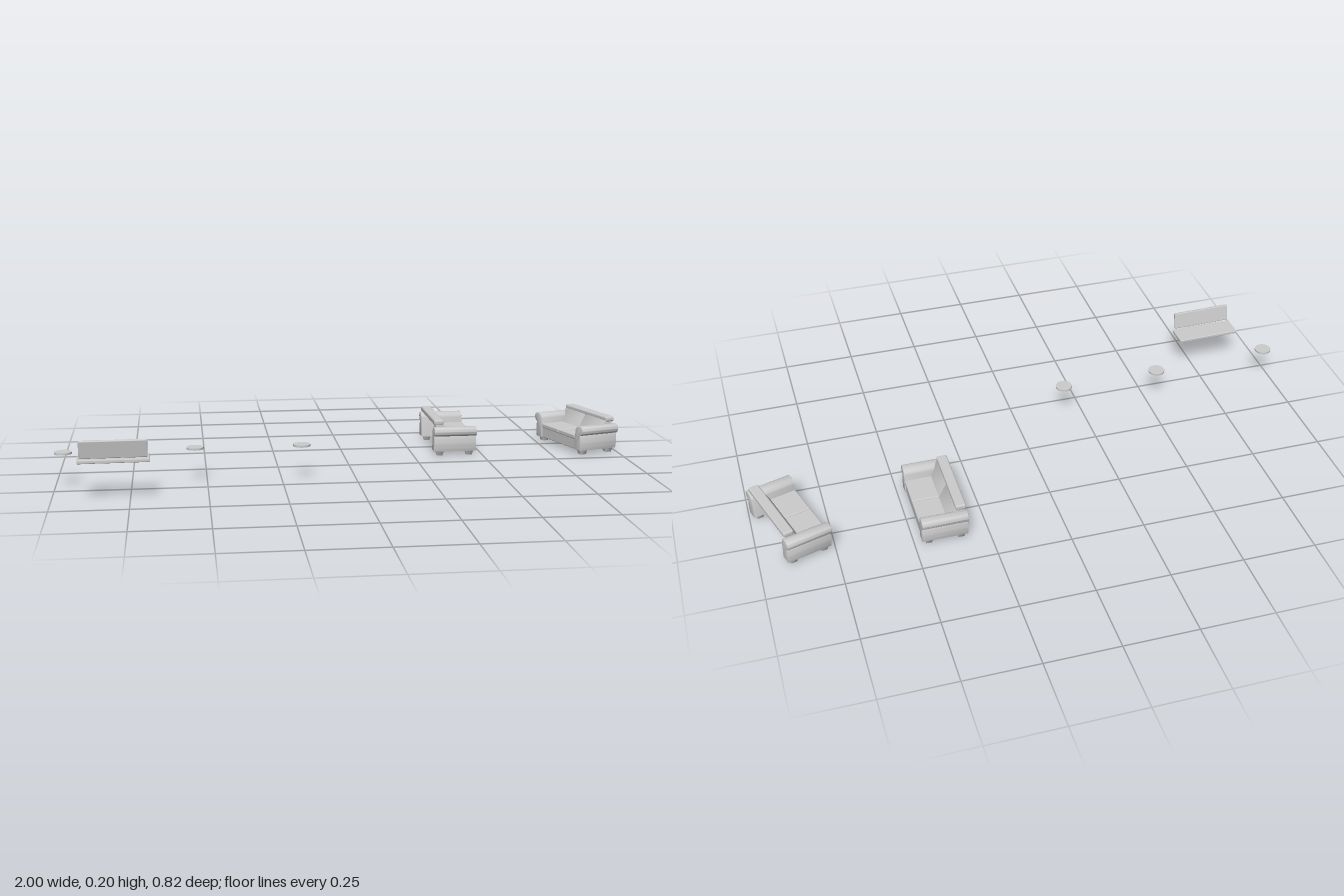
import * as THREE from 'three';
import { toCreasedNormals } from 'three/addons/utils/BufferGeometryUtils.js';
import { RoundedBoxGeometry } from 'three/addons/geometries/RoundedBoxGeometry.js';

const material = new THREE.MeshStandardMaterial({ color: 0xcccccc });

function add(parent, name, geometry, x = 0, y = 0, z = 0) {
  const mesh = new THREE.Mesh(geometry, material);
  mesh.name = name;
  mesh.position.set(x, y, z);
  parent.add(mesh);
  return mesh;
}

const cushion = (w, h, d, r) => new RoundedBoxGeometry(w, h, d, 2, r);

// Extrudes a closed outline, centred along its depth
function prism(shape, depth) {
  const bevel = 0.002;
  const geometry = new THREE.ExtrudeGeometry(shape, {
    depth: depth - 2 * bevel, curveSegments: 8,
    bevelSize: bevel, bevelThickness: bevel, bevelOffset: -bevel, bevelSegments: 2,
  });
  geometry.translate(0, 0, -depth / 2 + bevel);
  return toCreasedNormals(geometry, 0.7);
}

// Rolled arm outline: upright body with a scroll overhanging outwards
function armShape() {
  const s = new THREE.Shape();
  s.moveTo(0.112, 0.016);
  s.lineTo(0.148, 0.016);
  s.quadraticCurveTo(0.156, 0.045, 0.148, 0.072);
  s.bezierCurveTo(0.158, 0.073, 0.164, 0.082, 0.163, 0.091);
  s.bezierCurveTo(0.163, 0.101, 0.153, 0.106, 0.142, 0.105);
  s.bezierCurveTo(0.126, 0.106, 0.117, 0.097, 0.116, 0.082);
  s.lineTo(0.112, 0.016);
  return s;
}

// Leaning back slab: its rear slopes forward down to the seat
function backShape() {
  const s = new THREE.Shape();
  s.moveTo(0.01, 0.062);
  s.lineTo(0.03, 0.062);
  s.lineTo(0.074, 0.112);
  s.quadraticCurveTo(0.076, 0.122, 0.066, 0.124);
  s.lineTo(0.052, 0.124);
  s.quadraticCurveTo(0.042, 0.122, 0.038, 0.112);
  s.lineTo(0.01, 0.062);
  return s;
}

// Half of the back, widening towards the top
function backCushion(side) {
  const geometry = prism(backShape(), 0.115);
  geometry.rotateY(Math.PI / 2);
  geometry.translate(side * 0.058, 0, 0);
  const p = geometry.attributes.position;
  for (let i = 0; i < p.count; i++) p.setX(i, p.getX(i) * (1 + 3.2 * (p.getY(i) - 0.064)));
  return geometry;
}

function createSofa(name) {
  const sofa = new THREE.Group();
  sofa.name = name;
  const arm = prism(armShape(), 0.155);
  const leg = new THREE.CylinderGeometry(0.02, 0.014, 0.018, 4);
  leg.rotateY(Math.PI / 4);

  // The lower back stays open behind the front rail
  add(sofa, 'frontRail', cushion(0.23, 0.04, 0.012, 0.003), 0, 0.036, 0.068);
  add(sofa, 'backTopRoll', cushion(0.274, 0.018, 0.036, 0.006), 0, 0.121, -0.058);

  for (const side of [-1, 1]) {
    const armMesh = add(sofa, side > 0 ? 'leftArm' : 'rightArm', arm);
    if (side < 0) armMesh.rotation.y = Math.PI;
    add(sofa, 'seatCushion', cushion(0.114, 0.016, 0.107, 0.004), side * 0.0575, 0.061, 0.0235);
    add(sofa, 'backCushion', backCushion(side));
    for (const z of [-0.054, 0.054]) add(sofa, 'leg', leg, side * 0.13, 0.009, z);
  }
  return sofa;
}

// Bench made of a flat seat panel and a leaning back panel
function createBench() {
  const bench = new THREE.Group();
  bench.name = 'bench';
  add(bench, 'benchSeat', cushion(0.23, 0.012, 0.077, 0.003), 0, 0.128, -0.0045);
  const back = add(bench, 'benchBack', cushion(0.216, 0.06, 0.011, 0.003), 0, 0.17, 0.0395);
  back.rotation.x = 0.2;
  return bench;
}

export function createModel() {
  const model = new THREE.Group();
  model.name = 'seatingSet';

  const sofaA = createSofa('straightSofa');
  sofaA.position.set(0.399, 0, -0.246);
  sofaA.rotation.y = Math.PI / 2;
  const sofaB = createSofa('angledSofa');
  sofaB.position.set(0.878, 0, -0.207);
  sofaB.rotation.y = -1.28;

  const bench = createBench();
  bench.position.set(-0.8, 0, 0.355);
  bench.rotation.y = 0.025;
  model.add(sofaA, sofaB, bench);

  // Round stool tops
  const disc = new THREE.CylinderGeometry(0.029, 0.029, 0.007, 32);
  for (const [x, z] of [[-0.971, 0.193], [-0.539, 0.174], [-0.182, 0.174]]) {
    add(model, 'stoolTop', disc, x, 0.1165, z);
  }
  return model;
}
